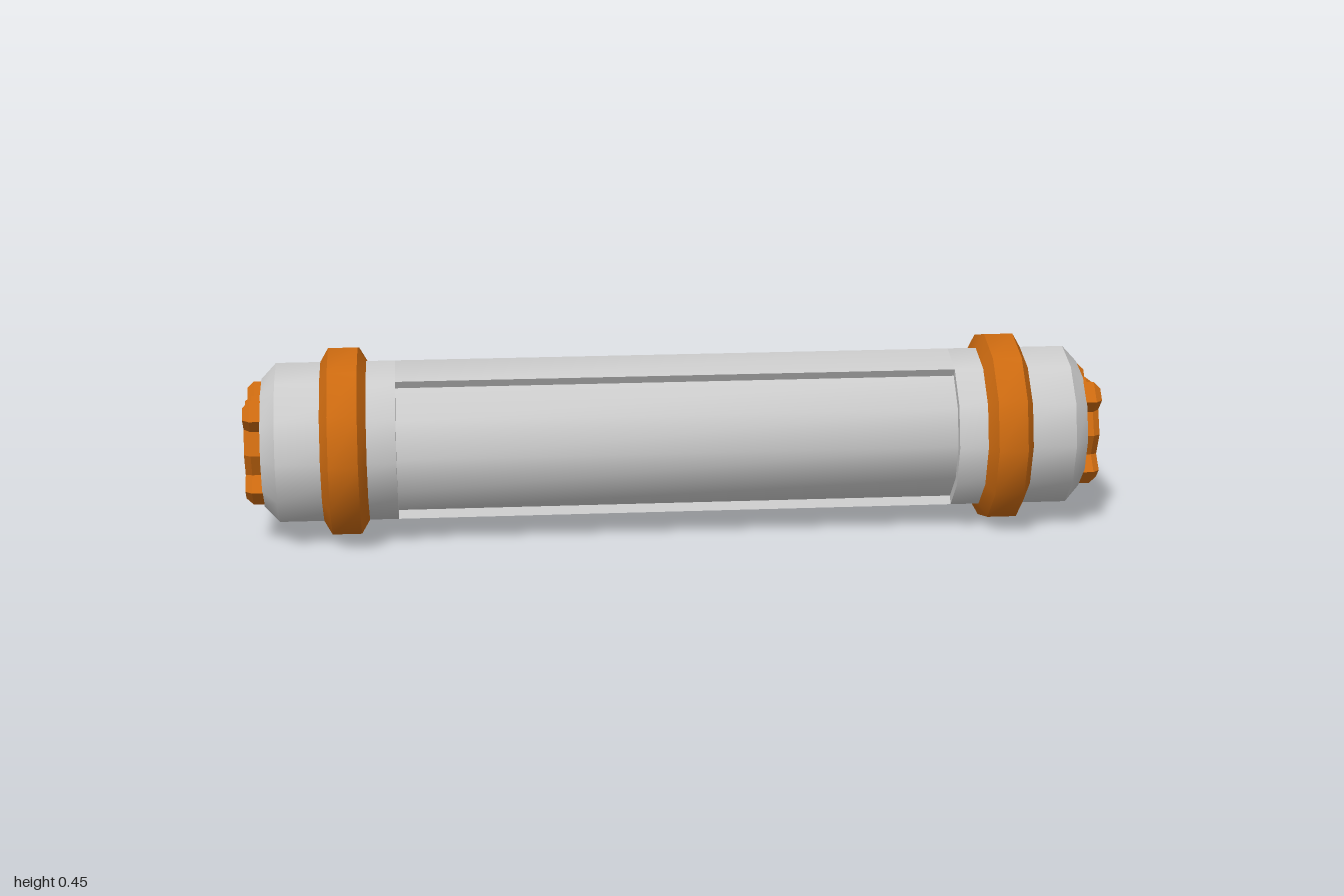
import * as THREE from 'three';
import { toCreasedNormals } from 'three/addons/utils/BufferGeometryUtils.js';

const SIDES = 12;
const CENTER_Y = 0.224;
const BODY_R = 0.191;
const PANEL_R = 0.17;
const PANEL_X = 0.65;

const grey = new THREE.MeshStandardMaterial({ color: 0xcccccc });
const orange = new THREE.MeshStandardMaterial({ color: 0xcc6a10 });

function mesh(name, geometry, material) {
  const m = new THREE.Mesh(geometry, material);
  m.name = name;
  return m;
}

// Twelve-sided turned part along the x axis; profile is [radius, x] with x rising
function turned(profile) {
  const g = new THREE.LatheGeometry(profile.map(([r, x]) => new THREE.Vector2(r, x)), SIDES);
  g.rotateZ(-Math.PI / 2);
  return toCreasedNormals(g, 0.6);
}

// Point at an angle in degrees, measured from the top
function polar(r, degrees) {
  const a = THREE.MathUtils.degToRad(degrees);
  return new THREE.Vector2(r * Math.sin(a), r * Math.cos(a));
}

// Middle of the tube, with a long recessed panel on the front and back
function middleGeometry() {
  const points = [];
  for (const start of [0, 180]) {
    points.push(polar(BODY_R, start), polar(BODY_R, start + 30));
    for (let a = 30; a <= 150; a += 30) points.push(polar(PANEL_R, start + a));
    points.push(polar(BODY_R, start + 150));
  }
  const g = new THREE.ExtrudeGeometry(new THREE.Shape(points), {
    depth: PANEL_X * 2, bevelEnabled: false,
  });
  g.translate(0, 0, -PANEL_X);
  g.rotateY(Math.PI / 2);
  return toCreasedNormals(g, 0.6);
}

// Bevelled end plate with four diagonal lugs and a tapered socket
function lugPlateGeometry() {
  const points = [];
  for (let q = 0; q < 360; q += 90) {
    points.push(
      polar(0.113, q), polar(0.104, q + 30),
      polar(0.151, q + 34.5), polar(0.151, q + 55.5),
      polar(0.104, q + 60),
    );
  }
  const shape = new THREE.Shape(points);
  const hole = [];
  for (let a = 0; a < 360; a += 30) hole.push(polar(0.059, -a));
  shape.holes.push(new THREE.Path(hole));
  const g = new THREE.ExtrudeGeometry(shape, {
    depth: 0.04, bevelThickness: 0.016, bevelSize: 0.011, bevelOffset: -0.011, bevelSegments: 1,
  });
  g.translate(0, 0, 1 - 0.056);
  g.rotateY(Math.PI / 2);
  return g;
}

// One complete end of the tube, built toward +x
function createEnd(name) {
  const end = new THREE.Group();
  end.name = name;
  end.add(mesh('endSleeve', turned([
    [0.1, PANEL_X], [BODY_R, PANEL_X], [BODY_R, 0.925], [0.153, 0.96], [0, 0.96],
  ]), grey));
  end.add(mesh('collarRing', turned([
    [0.189, 0.716], [0.224, 0.736], [0.224, 0.804], [0.189, 0.824],
  ]), orange));
  end.add(mesh('lugPlate', lugPlateGeometry(), orange));
  const floor = mesh('socketFloor', new THREE.CircleGeometry(0.062, SIDES), orange);
  floor.rotation.y = Math.PI / 2;
  floor.position.x = 0.972;
  end.add(floor);
  return end;
}

export function createModel() {
  const model = new THREE.Group();
  model.name = 'capsuleTube';
  const tube = new THREE.Group();
  tube.name = 'tube';
  tube.position.y = CENTER_Y;
  tube.add(mesh('panelledMiddle', middleGeometry(), grey));

  const left = createEnd('leftEnd');
  const right = createEnd('rightEnd');
  right.rotation.y = Math.PI;
  tube.add(left, right);

  model.add(tube);
  return model;
}
